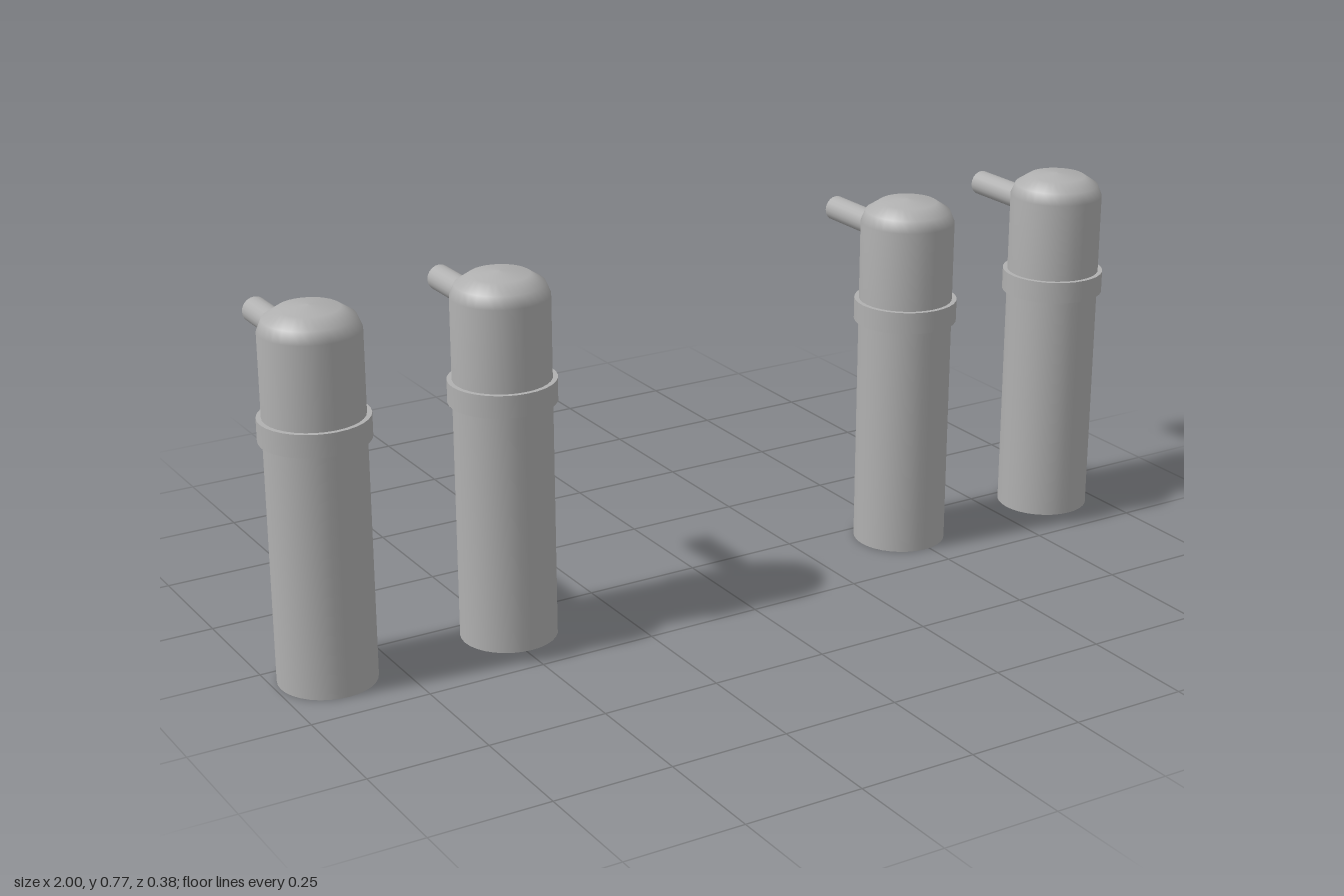
import * as THREE from 'three';

const SIDES = 32;

export function createModel() {
  const model = new THREE.Group();
  model.name = 'postSet';
  const metal = new THREE.MeshStandardMaterial({ color: 0xb0b0b0 });
  metal.name = 'grey metal';

  // Straight upper wall that rounds into a shallow dome
  const headProfile = [
    [0.1, 0.53], [0.1, 0.725], [0.09, 0.749], [0.061, 0.768], [0, 0.774],
  ].map(([r, y]) => new THREE.Vector2(r, y));

  const bodyGeo = new THREE.CylinderGeometry(0.1, 0.1, 0.53, SIDES).translate(0, 0.265, 0);
  const headGeo = new THREE.LatheGeometry(headProfile, SIDES);
  const collarGeo = new THREE.CylinderGeometry(0.11, 0.11, 0.047, SIDES).translate(0, 0.53, 0);
  // Horizontal rod reaching out of the back of the head
  const rodGeo = new THREE.CylinderGeometry(0.027, 0.027, 0.21, 20)
    .rotateX(Math.PI / 2)
    .translate(0, 0.687, -0.165);

  const parts = { body: bodyGeo, head: headGeo, collar: collarGeo, rod: rodGeo };

  // Two posts on each side
  for (const x of [-0.89, -0.488, 0.488, 0.89]) {
    const post = new THREE.Group();
    post.name = 'post';
    for (const [name, geometry] of Object.entries(parts)) {
      const mesh = new THREE.Mesh(geometry, metal);
      mesh.name = name;
      post.add(mesh);
    }
    post.position.set(x, 0, 0.08);
    model.add(post);
  }
  return model;
}
